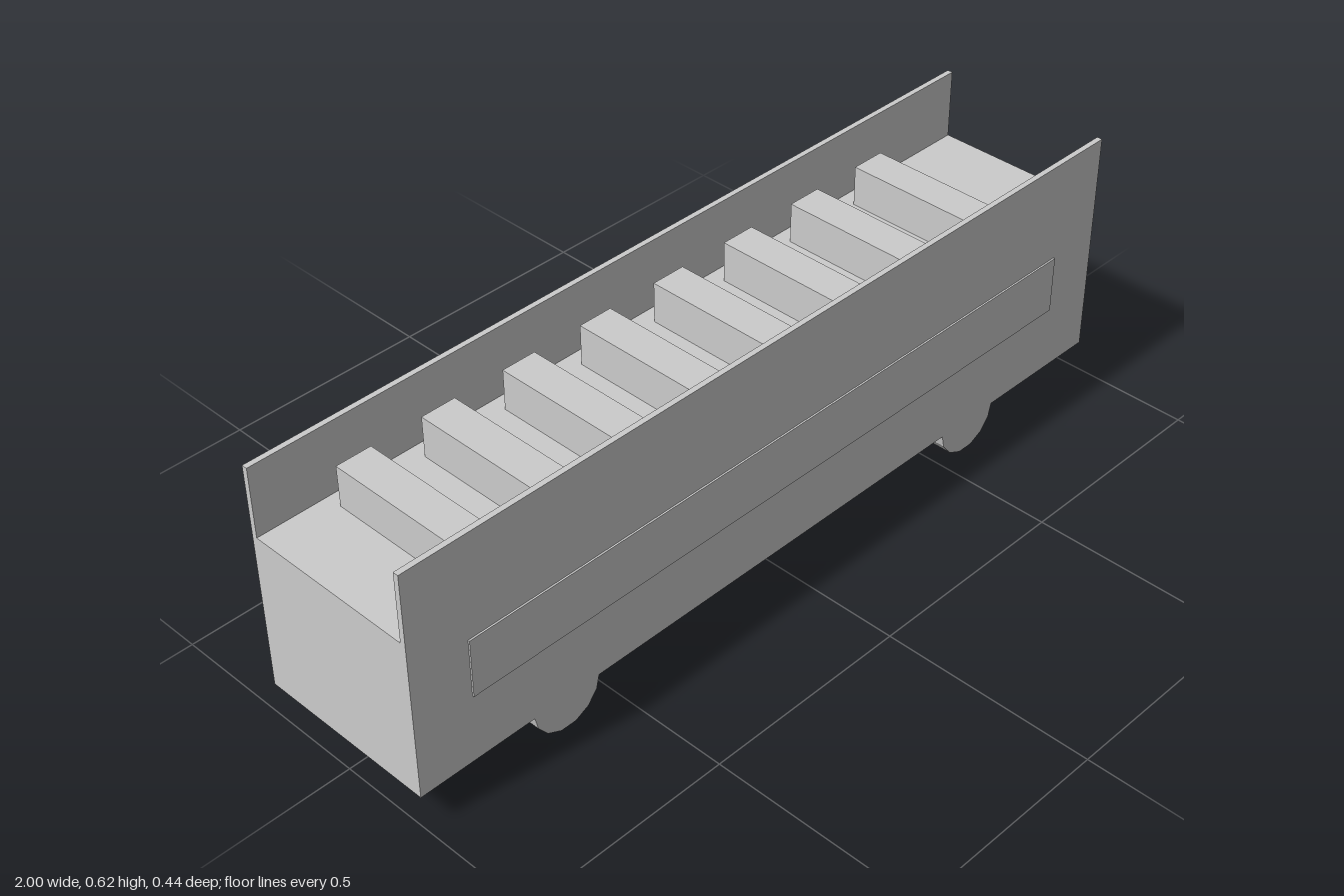
import * as THREE from 'three';

export function createModel() {
  const group = new THREE.Group();
  const grey = new THREE.MeshStandardMaterial({ color: 0xcccccc });
  grey.name = 'plain grey';

  function add(name, geometry, x, y, z) {
    const mesh = new THREE.Mesh(geometry, grey);
    mesh.name = name;
    mesh.position.set(x, y, z);
    group.add(mesh);
  }

  // Box given by its lower and upper limits on each axis
  function box(name, x0, x1, y0, y1, z0, z1) {
    add(name, new THREE.BoxGeometry(x1 - x0, y1 - y0, z1 - z0),
      (x0 + x1) / 2, (y0 + y1) / 2, (z0 + z1) / 2);
  }

  const back = -1, front = 0.993, floor = 0.458, halfWidth = 0.217;

  // Main body and the raised panel on its +x end
  box('body', back, front, 0.079, floor, -halfWidth, halfWidth);
  box('endPanel', front, 1, 0.208, 0.38, -0.181, 0.181);

  // Row of benches on the open deck
  for (let i = 0; i < 8; i++) {
    const x = -0.834 + i * 0.2076;
    box('bench', x, x + 0.084, floor, 0.554, -0.165, 0.165);
  }

  // Fourteen-sided wheels, flat side down
  const radius = 0.086, sides = 14, wheelWidth = 0.052;
  const wheel = new THREE.CylinderGeometry(
    radius, radius, wheelWidth, sides, 1, false, Math.PI / sides
  ).rotateX(Math.PI / 2).toNonIndexed();
  wheel.computeVertexNormals();
  const axleHeight = radius * Math.cos(Math.PI / sides);

  for (const side of [-1, 1]) {
    // Upper side wall
    const wallZ = side * (halfWidth - 0.0065);
    box('sideWall', back, front, floor, 0.623, wallZ - 0.0065, wallZ + 0.0065);

    // Thin long panel on the outside
    const panelZ = side * (halfWidth + 0.002);
    box('sidePanel', -0.86, 0.855, 0.241, 0.38, panelZ - 0.002, panelZ + 0.002);

    // Wheels
    for (const x of [-0.629, 0.585]) {
      add('wheel', wheel, x, axleHeight, side * (halfWidth - 0.0003 - wheelWidth / 2));
    }
  }

  return group;
}
